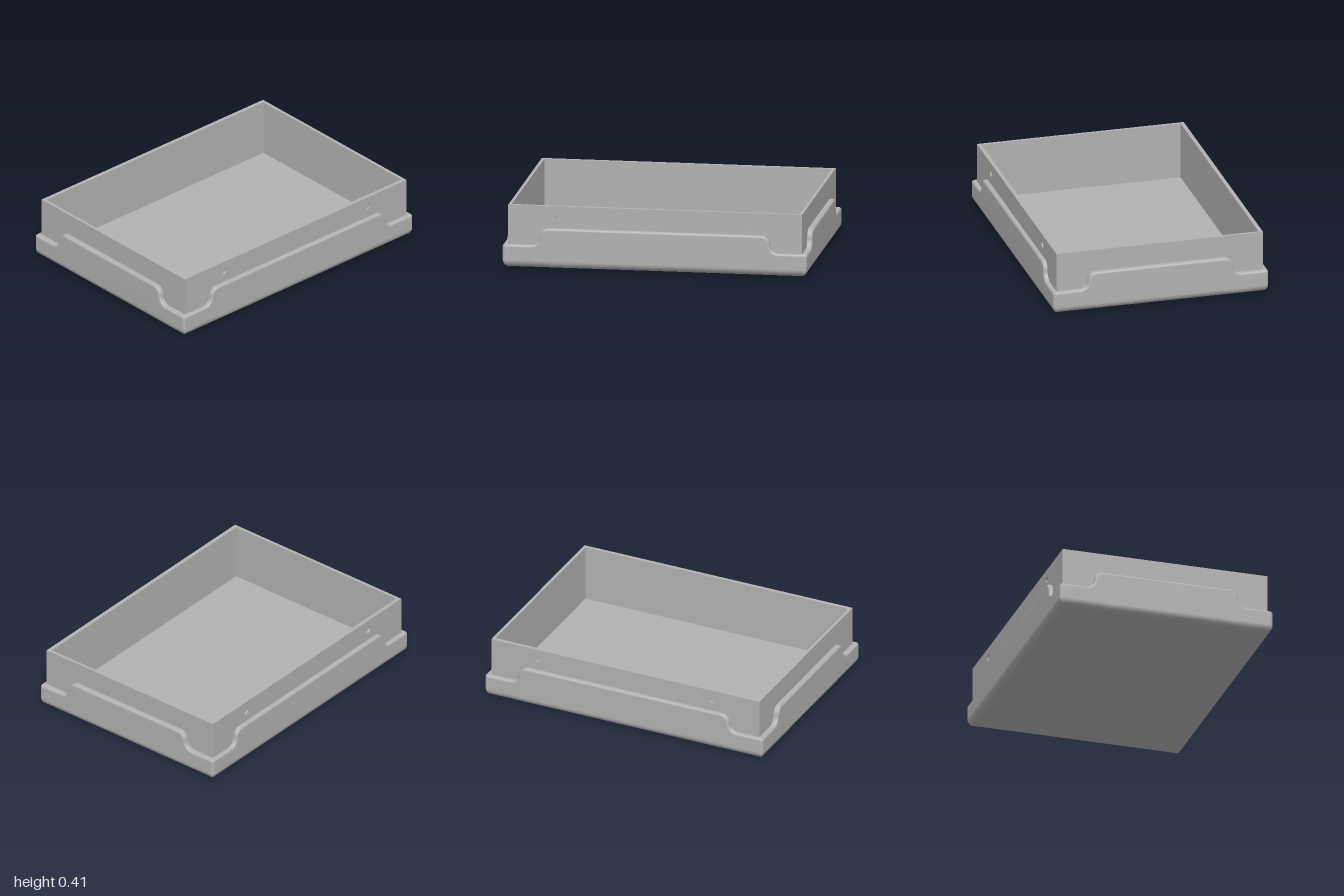
import * as THREE from 'three';

const HX = 1, HZ = 0.725;          // outer half sizes of the skirt
const LOW = 0.15, HIGH = 0.265;    // skirt height at the corners and mid-side
const CORNER = 0.02, BOTTOM = 0.05, LIP = 0.015, STEP = 0.035;

// Top edge of one skirt side: low, S-curve up, level, S-curve down, low.
function sideProfile(half, mid) {
  const r = (HIGH - LOW) / 2, pts = [], n = 8;
  pts.push({ u: half - CORNER, y: LOW, nu: 0, ny: 1 });
  for (let i = 0; i <= n; i++) {   // concave arc
    const a = (i / n) * Math.PI / 2, s = Math.sin(a), c = Math.cos(a);
    pts.push({ u: mid + r - r * s, y: LOW + r - r * c, nu: s, ny: c });
  }
  for (let i = 1; i <= n; i++) {   // convex arc
    const a = (i / n) * Math.PI / 2, s = Math.sin(a), c = Math.cos(a);
    pts.push({ u: mid - r + r * c, y: LOW + r + r * s, nu: c, ny: s });
  }
  const left = pts.map(p => ({ ...p, u: -p.u, nu: -p.nu }));
  return [...left, ...pts.reverse()];
}

// Rounded skirt swept around the rectangle
function skirtGeometry() {
  const columns = [];
  for (let k = 0; k < 4; k++) {
    const [half, other, mid] = k % 2 ? [HZ, HX, 0.487] : [HX, HZ, 0.755];
    for (const p of sideProfile(half, mid)) columns.push({ k, half, other, ...p });
    for (let i = 1; i < 5; i++) {
      columns.push({ k, half, other, angle: i * Math.PI / 10, y: LOW, nu: 0, ny: 1 });
    }
  }
  // Cross-section rows: bottom fillet, then rolled top lip, then inward step
  const rows = [];
  for (let i = 0; i <= 8; i++) {
    const a = i * Math.PI / 16;
    rows.push({ inset: BOTTOM * (1 - Math.sin(a)), off: LIP, y: BOTTOM * (1 - Math.cos(a)) });
  }
  for (let i = 0; i <= 5; i++) {
    const a = i * Math.PI / 10;
    rows.push({ inset: LIP * (1 - Math.cos(a)), off: LIP * (1 - Math.sin(a)) });
  }
  rows.push({ inset: STEP, off: 0 });

  const pos = [], index = [], n = columns.length;
  for (const row of rows) {
    for (const c of columns) {
      const r = Math.max(CORNER - row.inset, 0);
      const limit = c.half - row.inset - r;
      let u, d = c.other - row.inset;
      if (c.angle !== undefined) {
        u = limit + r * Math.sin(c.angle);
        d += r * (Math.cos(c.angle) - 1);
      } else {
        u = THREE.MathUtils.clamp(c.u - c.nu * row.off, -limit, limit);
      }
      const y = row.y ?? c.y - c.ny * row.off;
      const [x, z] = [[u, d], [d, -u], [-u, -d], [-d, u]][c.k];
      pos.push(x, y, z);
    }
  }
  for (let j = 0; j < rows.length - 1; j++) {
    for (let i = 0; i < n; i++) {
      const a = j * n + i, b = j * n + (i + 1) % n;
      index.push(a, b, b + n, a, b + n, a + n);
    }
  }
  // Underside
  const centre = pos.length / 3;
  pos.push(0, 0, 0);
  for (let i = 0; i < n; i++) index.push((i + 1) % n, i, centre);

  const g = new THREE.BufferGeometry();
  g.setAttribute('position', new THREE.Float32BufferAttribute(pos, 3));
  g.setIndex(index);
  g.computeVertexNormals();
  return g;
}

function rectangle(Type, x0, y0, x1, y1) {
  const s = new Type();
  s.moveTo(x0, y0).lineTo(x1, y0).lineTo(x1, y1).lineTo(x0, y1).closePath();
  return s;
}

export function createModel() {
  const model = new THREE.Group();
  model.name = 'tray';
  const grey = new THREE.MeshStandardMaterial({ color: 0xb2b2b2 });
  grey.name = 'plain grey';
  const add = (name, geometry) => {
    const mesh = new THREE.Mesh(geometry, grey);
    mesh.name = name;
    model.add(mesh);
    return mesh;
  };

  add('skirt', skirtGeometry());
  add('floor', new THREE.BoxGeometry(1.92, 0.02, 1.38)).position.y = 0.022;

  // Upright walls
  const ring = rectangle(THREE.Shape, -0.965, -0.682, 0.965, 0.682);
  ring.holes.push(rectangle(THREE.Path, -0.945, -0.67, 0.945, 0.67));
  const walls = new THREE.ExtrudeGeometry(ring, { depth: 0.38, bevelEnabled: false });
  add('walls', walls.rotateX(-Math.PI / 2)).position.y = 0.03;

  // Front and back faces with two shallow round holes each
  const face = rectangle(THREE.Shape, -0.965, 0.03, 0.965, 0.41);
  for (const x of [-0.625, 0.625]) {
    face.holes.push(new THREE.Path().absarc(x, 0.34, 0.022, 0, Math.PI * 2, true));
  }
  const faceGeometry = new THREE.ExtrudeGeometry(face, {
    depth: 0.014, bevelEnabled: false, curveSegments: 24,
  });
  add('frontFace', faceGeometry).position.z = 0.682;
  const back = add('backFace', faceGeometry);
  back.position.z = -0.682;
  back.rotation.y = Math.PI;

  return model;
}
